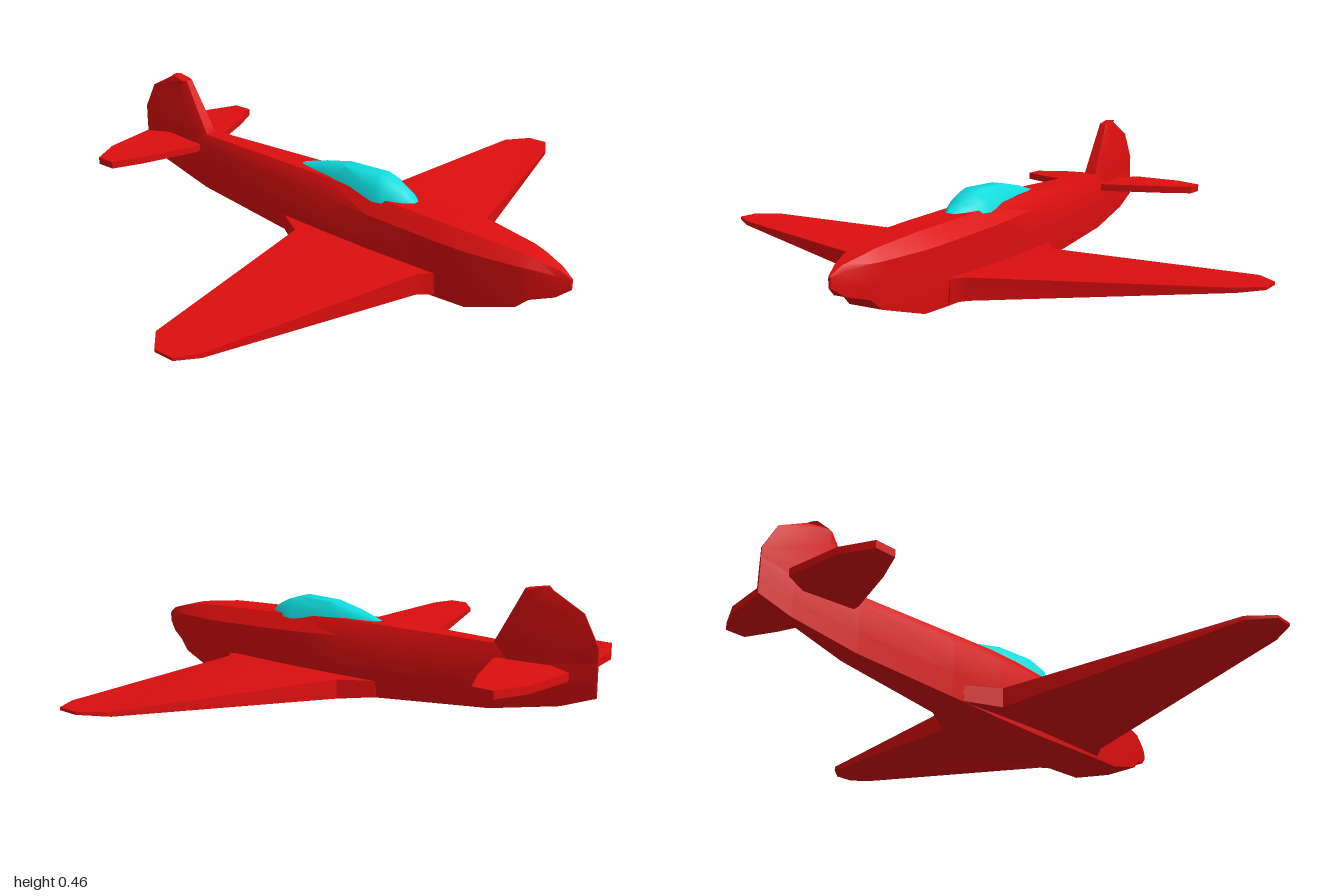
import * as THREE from 'three';
import { toCreasedNormals } from 'three/addons/utils/BufferGeometryUtils.js';

// Skin a series of equal-length rings, each counter-clockwise seen from the end of the loft.
function loft(rings, crease) {
  const n = rings[0].length, last = (rings.length - 1) * n, index = [];
  for (let i = 0; i < rings.length - 1; i++) {
    for (let j = 0; j < n; j++) {
      const k = (j + 1) % n, a = i * n + j, b = i * n + k;
      index.push(a, b, b + n, a, b + n, a + n);
    }
  }
  for (let j = 1; j < n - 1; j++) {
    index.push(0, j + 1, j, last, last + j, last + j + 1);
  }
  const g = new THREE.BufferGeometry();
  g.setAttribute('position', new THREE.Float32BufferAttribute(rings.flat(2), 3));
  g.setIndex(index);
  return toCreasedNormals(g, crease);
}

// Flat planform of [x, z] points, thickened between bottom(x, z) and top(x, z).
function slab(points, side, bottom, top, crease) {
  const shape = new THREE.Shape(points.map(([x, z]) => new THREE.Vector2(side * x, -z)));
  const g = new THREE.ExtrudeGeometry(shape, { depth: 1, bevelEnabled: false });
  const p = g.attributes.position;
  for (let i = 0; i < p.count; i++) {
    const x = p.getX(i), z = -p.getY(i), t = p.getZ(i);
    p.setXYZ(i, x, THREE.MathUtils.lerp(bottom(Math.abs(x), z), top(Math.abs(x), z), t), z);
  }
  return toCreasedNormals(g, crease);
}

export function createModel() {
  const model = new THREE.Group();
  model.name = 'airplane';
  const red = new THREE.MeshStandardMaterial({ name: 'red paint', color: 0xdd0e0e });
  const cyan = new THREE.MeshStandardMaterial({ name: 'cyan glass', color: 0x10dde0 });
  const add = (name, geometry, material) => {
    const mesh = new THREE.Mesh(geometry, material);
    mesh.name = name;
    model.add(mesh);
  };

  // Fuselage stations: z, bottom, top, half width
  const body = [
    [-0.91, 0.15, 0.27, 0.003], [-0.8, 0.11, 0.27, 0.016], [-0.57, 0.065, 0.27, 0.04],
    [-0.2, 0.033, 0.27, 0.07], [0, 0.015, 0.27, 0.085], [0.22, 0.002, 0.258, 0.097],
    [0.48, 0, 0.246, 0.1], [0.6, 0, 0.24, 0.096], [0.76, 0.045, 0.22, 0.066],
    [0.8, 0.08, 0.21, 0.055], [0.87, 0.1, 0.19, 0.023], [0.91, 0.13, 0.165, 0.004],
  ].map(([z, b, t, w]) => {
    const h = t - b, s = t - 0.2 * h, m = b + 0.35 * h;
    return [[0.93 * w, b, z], [w, m, z], [w, s, z], [0.6 * w, t, z],
      [-0.6 * w, t, z], [-w, s, z], [-w, m, z], [-0.93 * w, b, z]];
  });
  add('fuselage', loft(body, 0.6), red);

  // Canopy stations: z, base, top, half width
  const canopy = [
    [-0.12, 0.262, 0.271, 0.02], [-0.03, 0.255, 0.295, 0.038], [0.07, 0.245, 0.315, 0.055],
    [0.22, 0.235, 0.316, 0.072], [0.26, 0.235, 0.303, 0.07], [0.32, 0.238, 0.275, 0.042],
    [0.35, 0.24, 0.254, 0.018],
  ].map(([z, b, t, w]) => {
    const m = b + 0.6 * (t - b);
    return [[w, b, z], [0.8 * w, m, z], [0.4 * w, t, z], [-0.4 * w, t, z], [-0.8 * w, m, z], [-w, b, z]];
  });
  add('canopy', loft(canopy, 0.9), cyan);

  // Tail fin levels: y, front z, rear z, half width
  const fin = [
    [0.22, -0.56, -0.91, 0.036], [0.27, -0.57, -0.91, 0.036], [0.3, -0.587, -0.91, 0.034],
    [0.395, -0.64, -0.86, 0.026], [0.45, -0.67, -0.758, 0.021], [0.461, -0.73, -0.745, 0.018],
  ].map(([y, f, r, w]) => {
    const m = THREE.MathUtils.lerp(f, r, 0.2);
    return [[0.6 * w, y, f], [w, y, m], [0.002, y, r], [-0.002, y, r], [-w, y, m], [-0.6 * w, y, f]];
  });
  add('tailFin', loft(fin, 0.8), red);

  // Wings with dihedral and root fillets, and tailplanes
  const wing = [[0.04, 0.49], [0.1, 0.49], [0.14, 0.455], [0.93, 0.31], [1, 0.27],
    [1, 0.2], [0.93, 0.13], [0.14, -0.045], [0.07, -0.155], [0.04, -0.155]];
  const tailplane = [[0, -0.59], [0.06, -0.592], [0.25, -0.66], [0.355, -0.71],
    [0.355, -0.78], [0.25, -0.83], [0.06, -0.85], [0.02, -0.77], [0, -0.77]];
  const wingBottom = (x, z) => 0.01 + 0.128 * Math.max(0, x - 0.1) + 0.13 * Math.max(0, -z);
  const wingTop = (x) => 0.085 + 0.055 * Math.max(0, x - 0.1);
  for (const [label, side] of [['left', 1], ['right', -1]]) {
    add(label + 'Wing', slab(wing, side, wingBottom, wingTop, 0.6), red);
    add(label + 'Tailplane', slab(tailplane, side, () => 0.205, () => 0.23, 0.8), red);
  }
  return model;
}
